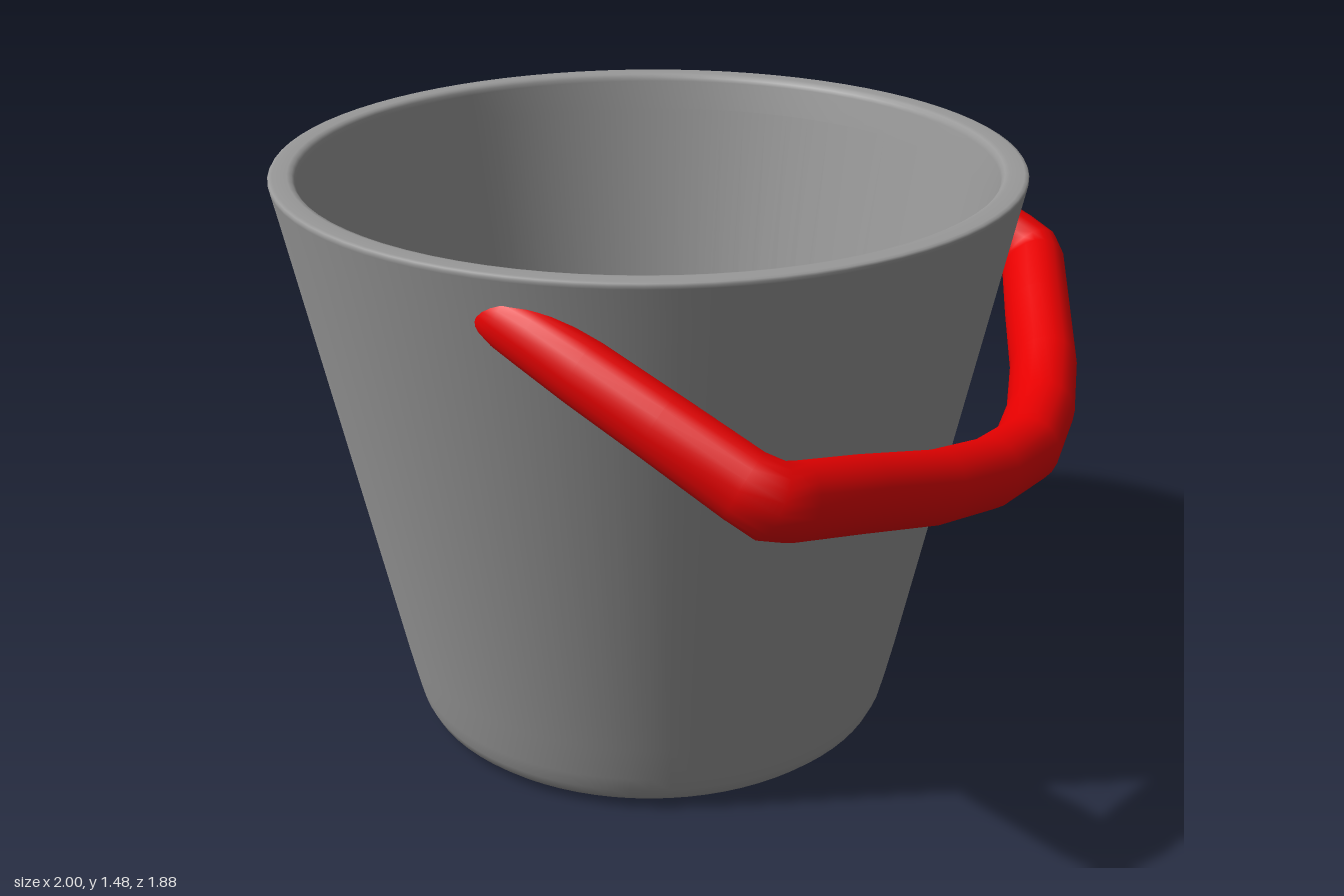
import * as THREE from 'three';

// Sweeps an elliptical section along [x, y, z, halfWidth, halfHeight] stations.
function sweep(stations, up, sides = 20) {
  const centres = stations.map(([x, y, z]) => new THREE.Vector3(x, y, z));
  const positions = [], index = [];
  const last = centres.length - 1;
  centres.forEach((c, i) => {
    const before = c.clone().sub(centres[Math.max(i - 1, 0)]).normalize();
    const after = centres[Math.min(i + 1, last)].clone().sub(c).normalize();
    const tangent = before.add(after).normalize();
    const side = up.clone().cross(tangent).normalize();
    const top = tangent.clone().cross(side);
    const [, , , w, h] = stations[i];
    for (let j = 0; j < sides; j++) {
      const t = (j / sides) * Math.PI * 2;
      const p = c.clone().addScaledVector(side, w * Math.cos(t)).addScaledVector(top, h * Math.sin(t));
      positions.push(p.x, p.y, p.z);
      if (i < last) {
        const a = i * sides + j, b = i * sides + (j + 1) % sides;
        index.push(a, b, a + sides, b, b + sides, a + sides);
      }
    }
  });
  const geometry = new THREE.BufferGeometry();
  geometry.setAttribute('position', new THREE.Float32BufferAttribute(positions, 3));
  geometry.setIndex(index);
  geometry.computeVertexNormals();
  return geometry;
}

export function createModel() {
  const group = new THREE.Group();

  // Tapered bucket: underside, outer wall, softened rim, inner wall, floor
  const profile = [
    [0, 0], [0.4, 0.003], [0.565, 0.008], [0.595, 0.015], [0.615, 0.033], [0.628, 0.06], [0.638, 0.1],
    [0.66, 0.2], [0.9, 1.385], [0.917, 1.466], [0.918, 1.473], [0.915, 1.478], [0.907, 1.48],
    [0.872, 1.48], [0.861, 1.477], [0.855, 1.47], [0.852, 1.46], [0.836, 1.385],
    [0.6, 0.25], [0.581, 0.15], [0.572, 0.115], [0.555, 0.09], [0.53, 0.08], [0.48, 0.078], [0, 0.078],
  ].map(([r, y]) => new THREE.Vector2(r, y));
  const bucket = new THREE.Mesh(
    new THREE.LatheGeometry(profile, 80),
    new THREE.MeshStandardMaterial({ color: 0x999999 })
  );
  bucket.name = 'bucket';
  bucket.position.x = -0.08;
  group.add(bucket);

  // Handle: arm blended into the wall, bent corner, bowed grip; mirrored across z
  const half = [
    [-0.03, 1.378, 0.862, 0.004, 0.004],
    [-0.015, 1.374, 0.867, 0.028, 0.045],
    [0.03, 1.363, 0.87, 0.042, 0.062],
    [0.1, 1.338, 0.872, 0.052, 0.07],
    [0.22, 1.286, 0.873, 0.064, 0.077],
    [0.4, 1.2, 0.873, 0.066, 0.081],
    [0.59, 1.107, 0.873, 0.067, 0.086],
    [0.642, 1.079, 0.859, 0.077, 0.091],
    [0.67, 1.062, 0.812, 0.078, 0.093],
    [0.745, 1.013, 0.62, 0.08, 0.092],
    [0.833, 0.953, 0.4, 0.08, 0.09],
    [0.89, 0.915, 0.2, 0.08, 0.088],
  ];
  const mirrored = half.map(([x, y, z, w, h]) => [x, y, -z, w, h]).reverse();
  const stations = [...half, [0.916, 0.897, 0, 0.08, 0.088], ...mirrored];
  const handle = new THREE.Mesh(
    sweep(stations, new THREE.Vector3(0.53, 0.85, 0).normalize()),
    new THREE.MeshStandardMaterial({ color: 0xe60000 })
  );
  handle.name = 'handle';
  group.add(handle);

  return group;
}
